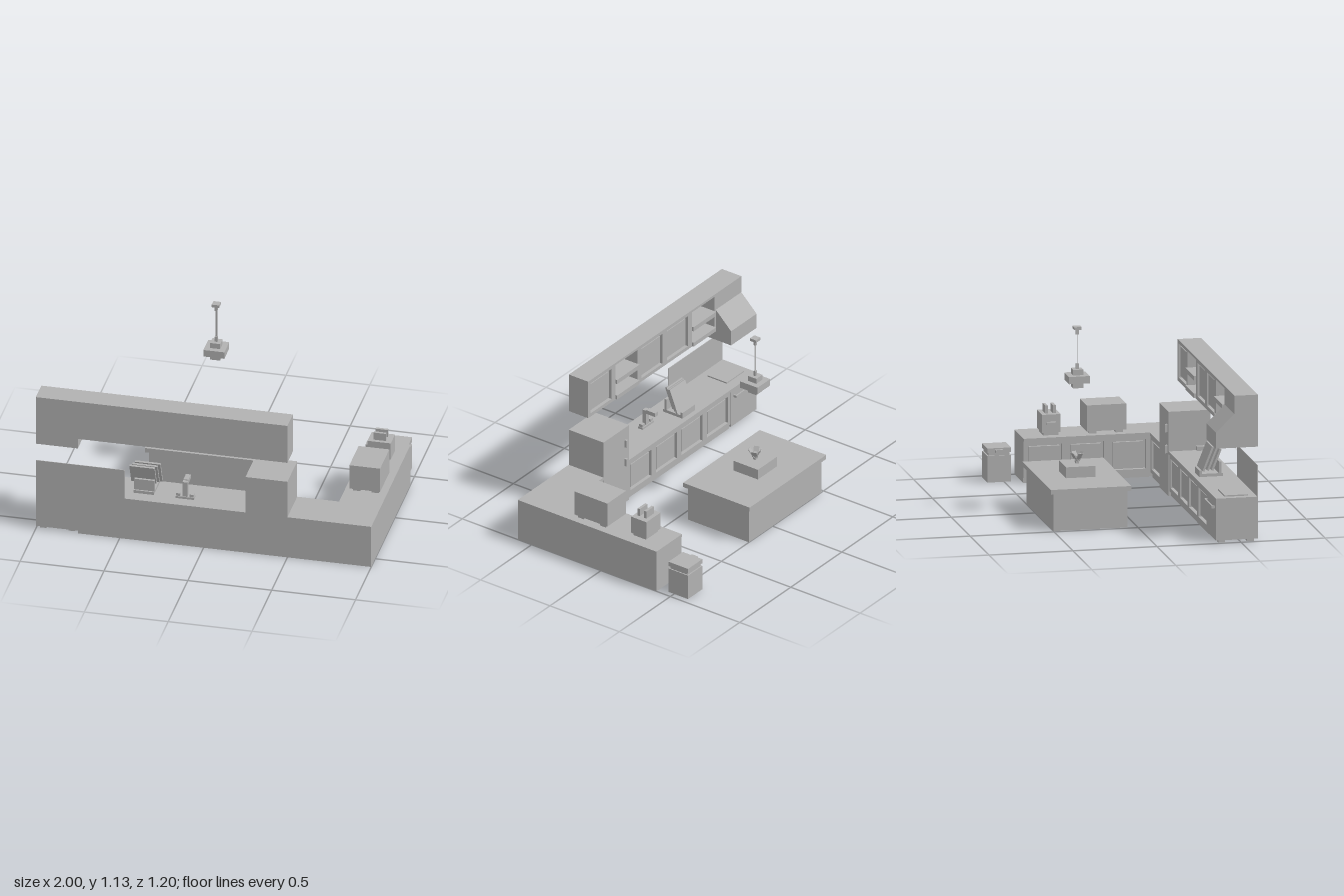
import * as THREE from 'three';

export function createModel() {
  const root = new THREE.Group();
  root.name = 'kitchen';
  const grey = new THREE.MeshStandardMaterial({ color: 0xb2b2b2 });
  grey.name = 'plainGrey';

  const add = (name, geo, parent = root) => {
    const m = new THREE.Mesh(geo, grey);
    m.name = name;
    parent.add(m);
    return m;
  };
  // Box given by its minimum and maximum on each axis
  const box = (name, x0, x1, y0, y1, z0, z1, parent = root) => {
    const m = add(name, new THREE.BoxGeometry(x1 - x0, y1 - y0, z1 - z0), parent);
    m.position.set((x0 + x1) / 2, (y0 + y1) / 2, (z0 + z1) / 2);
    return m;
  };
  const group = (name, x, y, z, ry = 0) => {
    const g = new THREE.Group();
    g.name = name;
    g.position.set(x, y, z);
    g.rotation.y = ry;
    root.add(g);
    return g;
  };
  // Rectangular frame, front face at local z = 0, reaching back by depth
  const frame = (name, w, h, border, depth, parent) => {
    const rect = (P, a, b) => {
      const p = new P();
      p.moveTo(-a, -b); p.lineTo(a, -b); p.lineTo(a, b); p.lineTo(-a, b); p.closePath();
      return p;
    };
    const s = rect(THREE.Shape, w / 2, h / 2);
    s.holes.push(rect(THREE.Path, w / 2 - border, h / 2 - border));
    const m = add(name, new THREE.ExtrudeGeometry(s, { depth, bevelEnabled: false }), parent);
    m.position.z = -depth;
  };
  // Cabinet front: frame with a raised panel set into its opening
  const cabinetDoor = (x, y, z, h, ry) => {
    const g = group('cabinetDoor', x, y, z, ry);
    frame('doorFrame', 0.25, h, 0.022, 0.025, g);
    box('doorPanel', -0.09, 0.09, -h / 2 + 0.035, h / 2 - 0.035, -0.026, -0.008, g);
  };

  // Base cabinets and worktops in an L
  box('backRunCarcass', -0.75, 1, 0, 0.25, 0.38, 0.6);
  box('sideRunCarcass', 0.78, 1, 0, 0.25, -0.4, 0.38);
  box('backWorktop', -0.75, 1, 0.25, 0.267, 0.35, 0.6);
  box('sideWorktop', 0.75, 1, 0.25, 0.267, -0.4, 0.35);
  for (const x of [-0.625, -0.375, -0.125, 0.125, 0.625]) {
    cabinetDoor(x, 0.14, 0.355, 0.22, Math.PI);
    box('kickBoard', x - 0.125, x + 0.125, 0, 0.03, 0.365, 0.38);
  }
  for (const z of [-0.275, -0.025, 0.225]) {
    cabinetDoor(0.755, 0.14, z, 0.22, -Math.PI / 2);
    box('kickBoard', 0.765, 0.78, 0, 0.03, z - 0.125, z + 0.125);
  }

  // Fridge
  box('fridgeBody', 0.25, 0.5, 0, 0.503, 0.35, 0.6);
  box('upperFridgeHandle', 0.28, 0.295, 0.375, 0.422, 0.335, 0.35);
  box('lowerFridgeHandle', 0.28, 0.295, 0.25, 0.297, 0.335, 0.35);

  // Stove with feet, oven handle, hob and splashback
  box('stoveBody', -1, -0.75, 0.018, 0.267, 0.35, 0.6);
  for (const x of [-0.96, -0.79]) for (const z of [0.39, 0.56])
    box('stoveFoot', x - 0.02, x + 0.02, 0, 0.018, z - 0.02, z + 0.02);
  box('ovenHandle', -0.975, -0.775, 0.205, 0.22, 0.33, 0.338);
  for (const x of [-0.97, -0.78]) box('handleMount', x - 0.005, x + 0.005, 0.205, 0.22, 0.338, 0.35);
  box('hobPlate', -0.96, -0.79, 0.267, 0.275, 0.41, 0.55);
  box('splashback', -1, -0.47, 0.267, 0.455, 0.596, 0.6);

  // Wall cabinets: doors and open shelves
  for (const x of [0.375, -0.125, -0.375]) {
    cabinetDoor(x, 0.752, 0.46, 0.246, Math.PI);
    box('wallCabinetCarcass', x - 0.125, x + 0.125, 0.629, 0.875, 0.485, 0.6);
  }
  for (const x of [0.125, -0.625]) {
    const g = group('openShelf', x, 0.752, 0.46, Math.PI);
    frame('shelfSurround', 0.25, 0.246, 0.015, 0.13, g);
    box('shelfBack', -0.125, 0.125, -0.123, 0.123, -0.14, -0.13, g);
    box('middleShelf', -0.11, 0.11, -0.015, 0.013, -0.13, 0.013, g);
    box('bottomShelf', -0.11, 0.11, -0.118, -0.092, -0.13, 0.013, g);
  }

  // Cooker hood, side profile drawn as (-z, y) and swept along x
  const hood = new THREE.Shape([[-0.6, 0.565], [-0.35, 0.565], [-0.35, 0.66], [-0.46, 0.767],
    [-0.46, 0.875], [-0.6, 0.875]].map(([a, b]) => new THREE.Vector2(a, b)));
  const hoodMesh = add('cookerHood', new THREE.ExtrudeGeometry(hood, { depth: 0.25, bevelEnabled: false }));
  hoodMesh.rotation.y = Math.PI / 2;
  hoodMesh.position.x = -1;

  // Tap
  box('tapBase', -0.185, -0.075, 0.267, 0.28, 0.49, 0.525);
  box('tapPost', -0.145, -0.115, 0.28, 0.375, 0.495, 0.52);
  box('tapSpout', -0.145, -0.115, 0.355, 0.38, 0.43, 0.495);
  for (const x of [-0.17, -0.09]) box('tapHandle', x - 0.012, x + 0.012, 0.28, 0.297, 0.495, 0.52);

  // Leaning boards in a rack
  box('rackBase', -0.435, -0.315, 0.267, 0.285, 0.38, 0.52);
  box('rackLip', -0.435, -0.315, 0.285, 0.305, 0.38, 0.395);
  box('rackBack', -0.435, -0.315, 0.285, 0.355, 0.495, 0.51);
  [[-0.365, 0.43, 0.155], [-0.378, 0.452, 0.14], [-0.39, 0.474, 0.135]].forEach(([x, z, h]) => {
    const m = add('leaningBoard', new THREE.BoxGeometry(0.15, h, 0.012));
    m.position.set(x, 0.372, z);
    m.rotation.x = 0.38;
  });

  // Microwave
  box('microwaveBody', 0.78, 0.963, 0.285, 0.44, -0.018, 0.217);
  for (const x of [0.82, 0.93]) for (const z of [0.022, 0.18])
    box('microwaveFoot', x - 0.022, x + 0.022, 0.267, 0.285, z - 0.022, z + 0.022);

  // Toaster with two slices
  box('toasterBase', 0.81, 0.925, 0.267, 0.285, -0.27, -0.18);
  box('toasterBody', 0.797, 0.936, 0.285, 0.393, -0.28, -0.17);
  for (const z of [-0.2, -0.247]) box('toastSlice', 0.828, 0.902, 0.38, 0.44, z - 0.008, z + 0.008);
  box('toasterLever', 0.778, 0.797, 0.335, 0.35, -0.255, -0.2);

  // Waste bin
  box('binBody', 0.823, 0.963, 0, 0.158, -0.6, -0.46);
  box('binNeck', 0.83, 0.956, 0.158, 0.175, -0.593, -0.467);
  box('binLid', 0.823, 0.963, 0.175, 0.203, -0.6, -0.46);
  box('binLidTab', 0.802, 0.823, 0.18, 0.195, -0.555, -0.51);

  // Island
  box('islandBody', -0.48, 0.23, 0, 0.222, -0.5, -0.06);
  box('islandTop', -0.5, 0.25, 0.222, 0.25, -0.52, -0.04);

  // Planter with tilted leaves
  const px = -0.13, pz = -0.28;
  box('planter', px - 0.0925, px + 0.0925, 0.25, 0.315, pz - 0.0875, pz + 0.0875);
  box('plantStem', px - 0.01, px + 0.01, 0.315, 0.36, pz - 0.01, pz + 0.01);
  for (let i = 0; i < 4; i++) {
    const g = group('leaf', px, 0.325, pz, i * Math.PI / 2 + 0.4);
    const leaf = box('leafBlade', -0.016, 0.016, -0.002, 0.06, 0.018, 0.022, g);
    leaf.rotation.x = 0.6;
  }

  // Pendant lamp
  const tier = (name, half, y0, y1, depth = half) =>
    box(name, px - half, px + half, y0, y1, pz - depth, pz + depth);
  tier('lampCanopy', 0.022, 1.113, 1.13);
  tier('canopyCollar', 0.008, 1.083, 1.113);
  tier('lampRod', 0.006, 0.91, 1.083, 0.001);
  tier('lampCollar', 0.008, 0.878, 0.91);
  tier('shadeCap', 0.03, 0.845, 0.878);
  tier('lampShade', 0.0625, 0.802, 0.845);
  tier('lampBulbBox', 0.03, 0.768, 0.802);

  return root;
}
